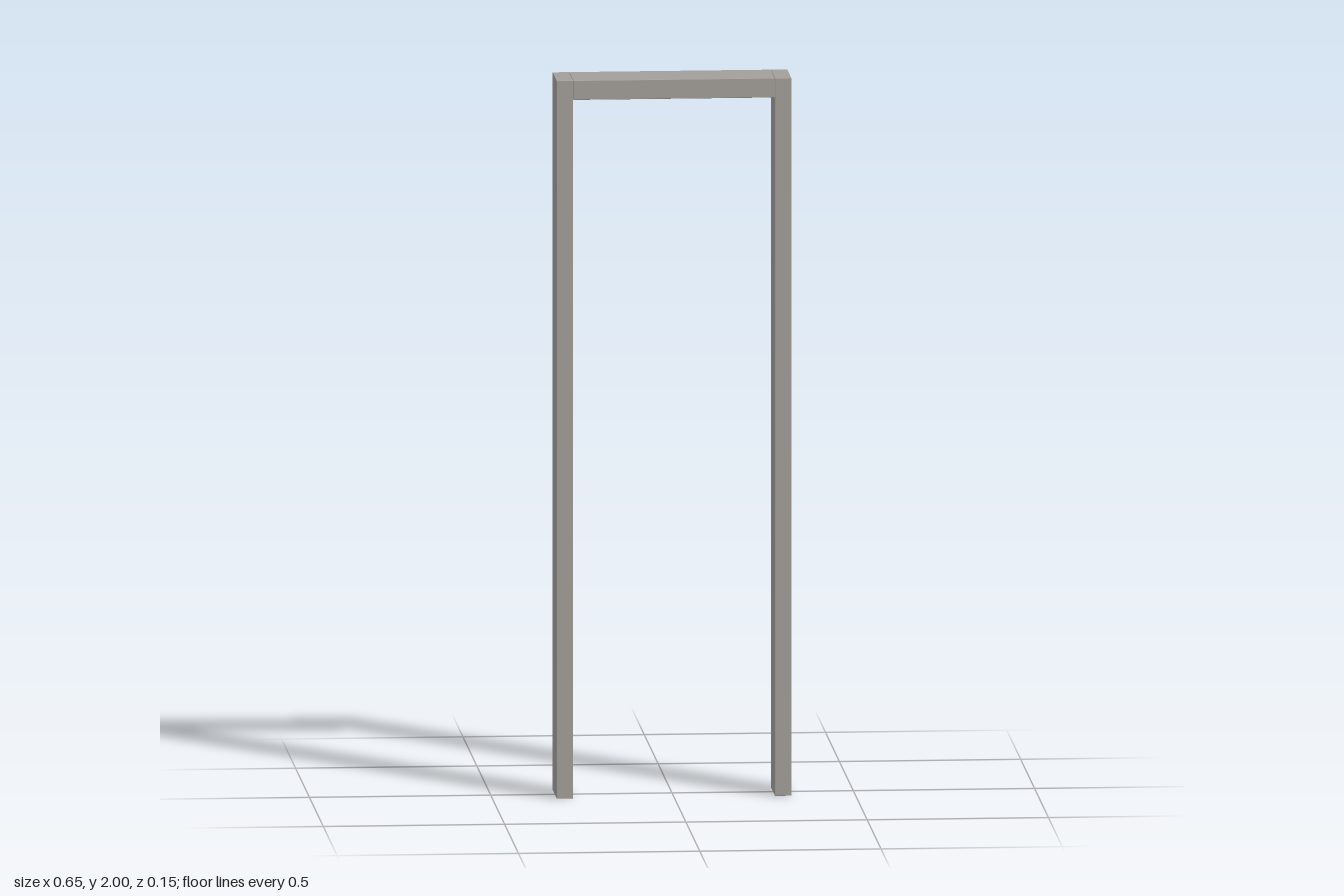
import * as THREE from 'three';
import { RoundedBoxGeometry } from 'three/addons/geometries/RoundedBoxGeometry.js';

const HEIGHT = 2, HALF_WIDTH = 0.324, DEPTH = 0.148;
const JAMB = 0.046, HEADER = 0.054, EDGE = 0.0015;

export function createModel() {
  const group = new THREE.Group();
  group.name = 'doorFrame';
  const material = new THREE.MeshStandardMaterial({ color: 0xa29e99 });

  // Board with slightly eased edges
  const addBoard = (name, width, height, x, y) => {
    const board = new THREE.Mesh(new RoundedBoxGeometry(width, height, DEPTH, 1, EDGE), material);
    board.name = name;
    board.position.set(x, y, 0);
    group.add(board);
  };

  // Upright jambs, full height
  for (const [name, side] of [['leftJamb', 1], ['rightJamb', -1]]) {
    addBoard(name, JAMB, HEIGHT, side * (HALF_WIDTH - JAMB / 2), HEIGHT / 2);
  }

  // Header fitted between the jambs
  addBoard('header', 2 * (HALF_WIDTH - JAMB), HEADER, 0, HEIGHT - HEADER / 2);

  return group;
}
